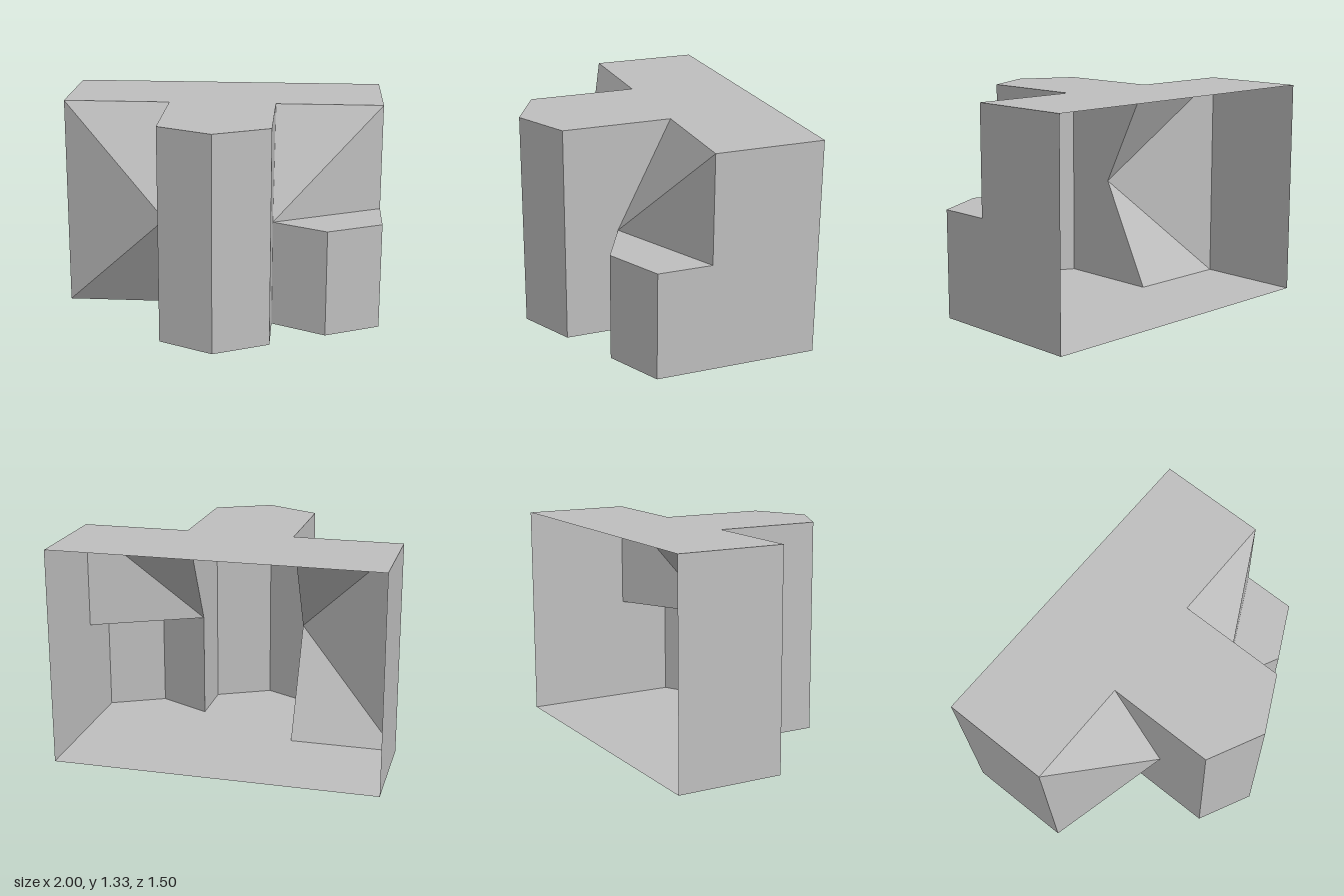
import * as THREE from 'three';

const T = 1 / 3, H = 4 / 3, M = 2 / 3;          // column half width, full height, ledge height
const BACK = -0.75, WALL = -1 / 12, MID = 0.25, COL = 7 / 12, NOSE = 0.75, STUB = 5 / 12;

const material = new THREE.MeshStandardMaterial({ color: 0xc0c0c0, side: THREE.DoubleSide });
material.name = 'plain grey';

// Flat polygon from corners listed counter-clockwise as seen from outside
function panel(name, corners) {
  const pts = corners.map((c) => new THREE.Vector3(...c));
  const normal = new THREE.Vector3();
  pts.forEach((p, i) => normal.add(p.clone().cross(pts[(i + 1) % pts.length])));
  normal.normalize();
  const u = pts[1].clone().sub(pts[0]).normalize();
  const v = normal.clone().cross(u);
  const flat = pts.map((p) => new THREE.Vector2(p.dot(u), p.dot(v)));
  const index = [];
  for (const [a, b, c] of THREE.ShapeUtils.triangulateShape(flat, [])) {
    const turn = flat[b].clone().sub(flat[a]).cross(flat[c].clone().sub(flat[a]));
    index.push(...(turn > 0 ? [a, b, c] : [a, c, b]));
  }
  const geometry = new THREE.BufferGeometry().setFromPoints(pts);
  geometry.setIndex(index);
  geometry.computeVertexNormals();
  const mesh = new THREE.Mesh(geometry, material);
  mesh.name = name;
  return mesh;
}

const level = (name, y, plan) => panel(name, plan.map(([x, z]) => [x, y, z]));
const side = (name, x, profile) => panel(name, profile.map(([z, y]) => [x, y, z]));
const upright = (name, [x0, z0], [x1, z1], top) =>
  panel(name, [[x0, 0, z0], [x1, 0, z1], [x1, top, z1], [x0, top, z0]]);

function part(name, ...meshes) {
  const group = new THREE.Group();
  group.name = name;
  return group.add(...meshes);
}

export function createModel() {
  const model = new THREE.Group();
  model.name = 'facetedShell';

  // Roof and floor; the back stays open
  const leftPlan = [[-1, BACK], [-1, WALL], [-T, WALL], [-T, COL], [0, NOSE], [T, COL]];
  model.add(
    level('roof', H, [...leftPlan, [T, WALL], [1, WALL], [1, BACK]]),
    level('floor', 0, [...leftPlan, [T, MID], [M, STUB], [1, MID], [1, BACK]].reverse()),
  );

  // Outer side walls
  model.add(
    side('leftWall', 1, [[MID, 0], [BACK, 0], [BACK, H], [WALL, H], [WALL, M], [MID, M]]),
    side('rightWall', -1, [[BACK, 0], [WALL, 0], [WALL, H], [BACK, H]]),
  );

  // Tall central column with a pointed front
  model.add(part('centralColumn',
    side('columnRightSide', -T, [[WALL, 0], [COL, 0], [COL, H], [WALL, H], [MID, M]]),
    upright('columnFrontRight', [-T, COL], [0, NOSE], H),
    upright('columnFrontLeft', [0, NOSE], [T, COL], H),
    side('columnLeftSide', T, [[COL, 0], [MID, 0], [MID, M], [WALL, H], [COL, H]]),
  ));

  // Half-height column with its ledge
  model.add(part('lowColumn',
    upright('lowColumnInner', [T, MID], [M, STUB], M),
    upright('lowColumnOuter', [M, STUB], [1, MID], M),
    level('ledge', M, [[T, MID], [M, STUB], [1, MID], [1, WALL]]),
  ));

  // Sloping facets either side of the central column
  const leftPeak = [T, M, MID], rightPeak = [-T, M, MID];
  model.add(
    part('leftFacets',
      panel('leftUpperSlope', [leftPeak, [1, H, WALL], [T, H, WALL]]),
      panel('leftOuterFacet', [leftPeak, [1, M, WALL], [1, H, WALL]])),
    part('rightFacets',
      panel('rightUpperSlope', [rightPeak, [-T, H, WALL], [-1, H, WALL]]),
      panel('rightOuterFacet', [[-1, 0, WALL], rightPeak, [-1, H, WALL]]),
      panel('rightUnderSlope', [[-1, 0, WALL], [-T, 0, WALL], rightPeak])),
  );

  return model;
}
